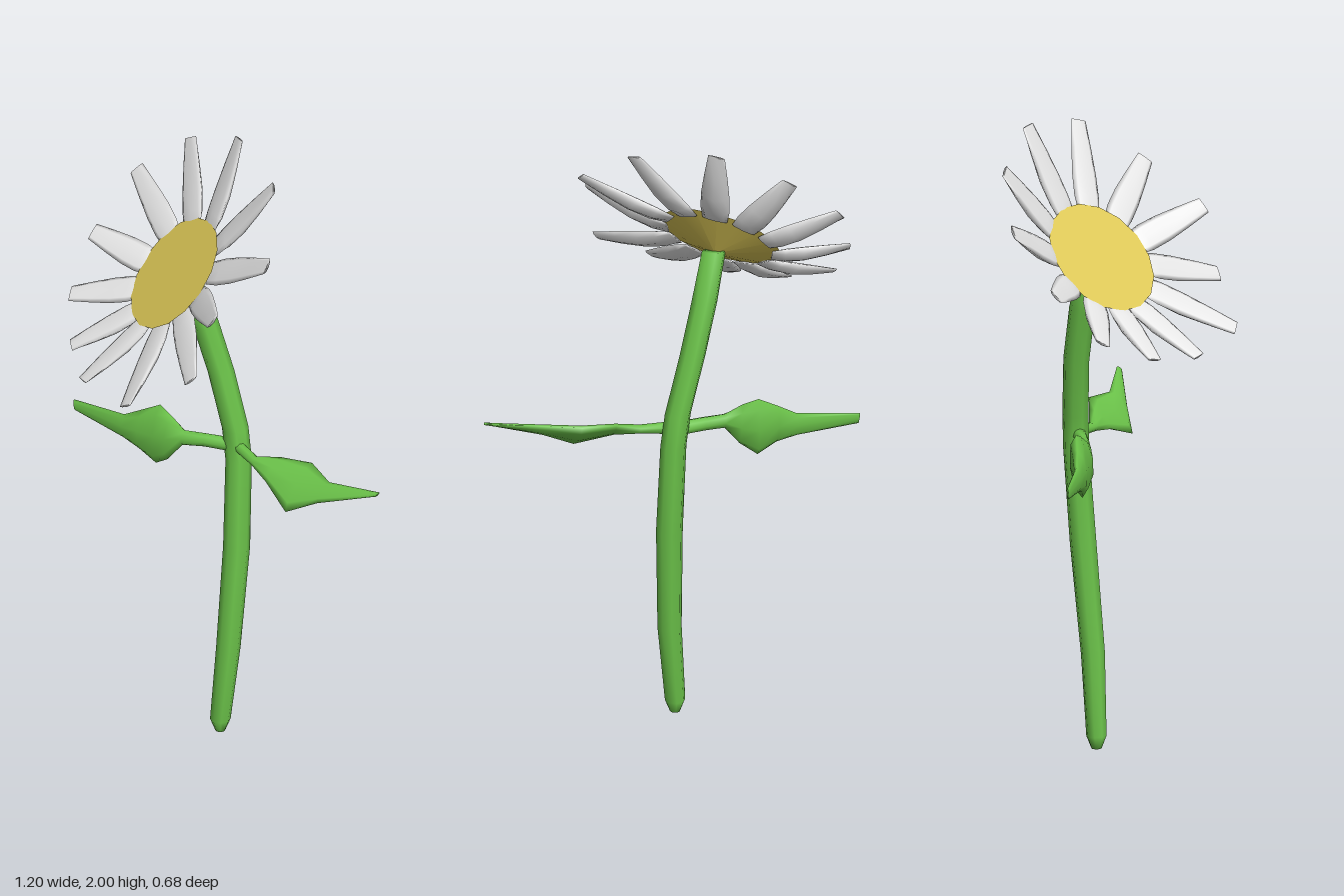
import * as THREE from 'three';

const V = (x, y, z) => new THREE.Vector3(x, y, z);

// Lofts elliptical sections { c: centre, u: half-width vector, t: half-thickness, cup: raised edges }
function loft(sections, sides) {
  const pos = [], idx = [], last = sections.length - 1;
  sections.forEach((s, i) => {
    const w = sections[Math.min(i + 1, last)].c.clone().sub(sections[Math.max(i - 1, 0)].c);
    const v = w.cross(s.u).normalize();
    for (let j = 0; j < sides; j++) {
      const a = (j / sides) * Math.PI * 2, k = Math.cos(a);
      const p = s.c.clone().addScaledVector(s.u, k)
        .addScaledVector(v, Math.sin(a) * s.t + (s.cup || 0) * k * k);
      pos.push(p.x, p.y, p.z);
    }
  });
  for (let i = 0; i < last; i++) {
    for (let j = 0; j < sides; j++) {
      const a = i * sides + j, b = i * sides + (j + 1) % sides;
      idx.push(a, b, a + sides, b, b + sides, a + sides);
    }
  }
  // end caps
  for (let j = 1; j < sides - 1; j++) {
    const e = last * sides;
    idx.push(0, j + 1, j, e, e + j, e + j + 1);
  }
  const g = new THREE.BufferGeometry();
  g.setAttribute('position', new THREE.Float32BufferAttribute(pos, 3));
  g.setIndex(idx);
  g.computeVertexNormals();
  return g;
}

// Section between two opposite edge points
const span = (a, b, t) => ({
  c: a.clone().add(b).multiplyScalar(0.5),
  u: a.clone().sub(b).multiplyScalar(0.5),
  t,
});

export function createModel() {
  const group = new THREE.Group();
  const make = (name, color) => new THREE.MeshStandardMaterial({ name, color });
  const green = make('leafGreen', 0x6cc44a);
  const white = make('petalWhite', 0xe6e6e6);
  const yellow = make('centreYellow', 0xdfca58);
  const add = (name, geometry, material, parent = group) => {
    const m = new THREE.Mesh(geometry, material);
    m.name = name;
    parent.add(m);
    return m;
  };

  // Stem: x, y, z, radius
  const stem = [
    [-0.015, 0, -0.105, 0.016], [-0.015, 0.04, -0.105, 0.032], [0.005, 0.3, -0.12, 0.038],
    [0.011, 0.65, -0.152, 0.042], [0.002, 0.95, -0.172, 0.041], [-0.012, 1.06, -0.172, 0.041],
    [-0.06, 1.25, -0.16, 0.041], [-0.102, 1.42, -0.134, 0.041], [-0.138, 1.575, -0.098, 0.038],
  ].map(([x, y, z, r]) => ({ c: V(x, y, z), u: V(r, 0, 0), t: r }));
  add('stem', loft(stem, 8), green);

  // Leaf on the right side, standing upright
  add('rightLeaf', loft([
    span(V(0, 1.025, -0.165), V(0, 0.98, -0.165), 0.022),
    span(V(-0.1, 1.02, -0.135), V(-0.1, 0.975, -0.13), 0.02),
    span(V(-0.17, 1.015, -0.112), V(-0.17, 0.965, -0.105), 0.016),
    span(V(-0.225, 1.045, -0.115), V(-0.22, 0.9, -0.09), 0.026),
    span(V(-0.275, 1.062, -0.12), V(-0.275, 0.862, -0.1), 0.03),
    span(V(-0.34, 1.025, -0.105), V(-0.335, 0.895, -0.09), 0.022),
    span(V(-0.4, 0.99, -0.095), V(-0.4, 0.912, -0.088), 0.012),
    span(V(-0.6, 0.97, -0.087), V(-0.595, 0.935, -0.085), 0.004),
  ], 8), green);

  // Leaf on the left side, lying at a slant
  add('leftLeaf', loft([
    span(V(0, 1.015, -0.18), V(0, 1.0, -0.145), 0.02),
    span(V(0.1, 1.005, -0.15), V(0.1, 0.99, -0.12), 0.014),
    span(V(0.18, 1.03, -0.165), V(0.18, 0.972, -0.095), 0.014),
    span(V(0.29, 1.042, -0.187), V(0.3, 0.93, -0.05), 0.02),
    span(V(0.4, 1.035, -0.142), V(0.4, 0.985, -0.085), 0.013),
    span(V(0.595, 1.068, -0.155), V(0.59, 1.058, -0.138), 0.004),
  ], 8), green);

  // Flower head: flat disc with a shallow conical back
  const centre = V(-0.165, 1.605, -0.06);
  const normal = V(-0.4, 0.66, 0.63).normalize();
  const disc = add('flowerCentre', new THREE.ConeGeometry(0.194, 0.06, 16), yellow);
  disc.quaternion.setFromUnitVectors(V(0, -1, 0), normal);
  disc.position.copy(centre).addScaledVector(normal, -0.03);

  // Petals, given by their tips
  const tips = [
    [-0.11, 2, -0.305], [0.13, 1.965, -0.19], [0.265, 1.82, -0.005], [0.212, 1.69, 0.19],
    [0.17, 1.485, 0.245], [-0.02, 1.36, 0.335], [-0.26, 1.325, 0.262], [-0.405, 1.345, 0.15],
    [-0.53, 1.42, 0.01], [-0.56, 1.57, -0.13], [-0.505, 1.755, -0.275], [-0.335, 1.905, -0.335],
  ];
  // fraction of length, half-width, half-thickness, cup, sag
  const profile = [
    [0, 0.04, 0.005, 0, 0], [0.18, 0.047, 0.014, 0.006, 0.008], [0.42, 0.046, 0.016, 0.01, 0.012],
    [0.7, 0.038, 0.012, 0.008, 0.008], [1, 0.027, 0.005, 0.002, 0],
  ];
  const petals = new THREE.Group();
  petals.name = 'petals';
  group.add(petals);
  for (const tip of tips) {
    const end = V(...tip);
    const radial = end.clone().sub(centre).projectOnPlane(normal).normalize();
    const base = centre.clone().addScaledVector(radial, 0.17).addScaledVector(normal, -0.012);
    const side = normal.clone().cross(radial);
    const sections = profile.map(([f, w, t, cup, sag]) => ({
      c: base.clone().lerp(end, f).addScaledVector(normal, -sag),
      u: side.clone().multiplyScalar(w), t, cup,
    }));
    add('petal', loft(sections, 8), white, petals);
  }
  return group;
}
